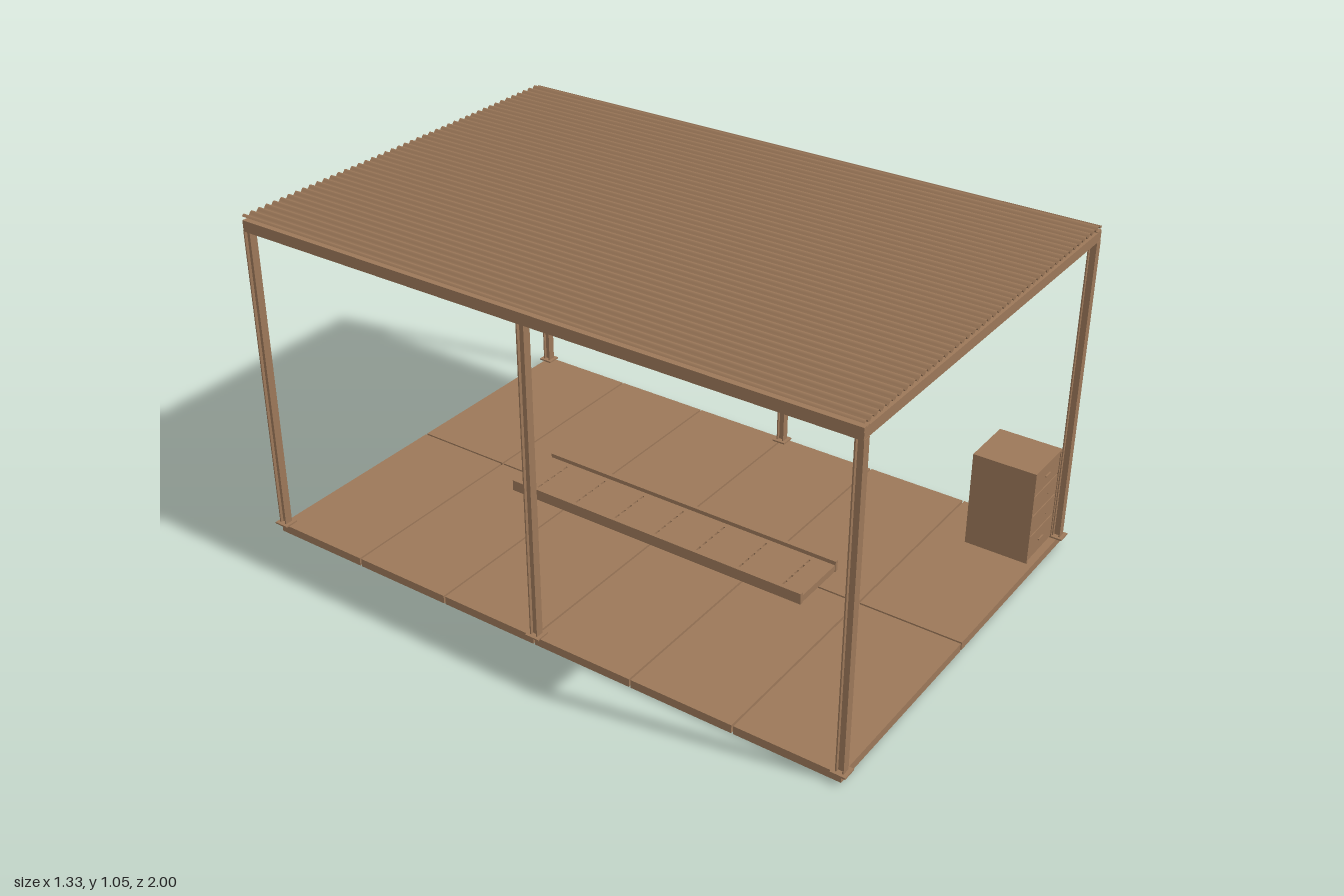
import * as THREE from 'three';

export function createModel() {
  const model = new THREE.Group();
  const brown = new THREE.MeshStandardMaterial({ color: 0x9c7859, side: THREE.DoubleSide });
  brown.name = 'brown';

  const add = (parent, name, geometry, x = 0, y = 0, z = 0) => {
    const mesh = new THREE.Mesh(geometry, brown);
    mesh.name = name;
    mesh.position.set(x, y, z);
    parent.add(mesh);
    return mesh;
  };
  // Box given by its minimum and maximum on each axis
  const box = (parent, name, x0, x1, y0, y1, z0, z1) =>
    add(parent, name, new THREE.BoxGeometry(x1 - x0, y1 - y0, z1 - z0),
      (x0 + x1) / 2, (y0 + y1) / 2, (z0 + z1) / 2);
  const group = (name) => {
    const g = new THREE.Group();
    g.name = name;
    model.add(g);
    return g;
  };

  // Floor: two columns of six slabs with narrow joints
  const floor = group('floor');
  const pitch = 1.972 / 6;
  for (const side of [-1, 1]) {
    for (let i = 0; i < 6; i++) {
      const z = -0.986 + i * pitch;
      const a = side * 0.003, b = side * 0.654;
      box(floor, 'floorSlab', Math.min(a, b), Math.max(a, b), 0, 0.026, z + 0.003, z + pitch - 0.003);
    }
  }

  // H-section posts on square base plates
  const h = 0.0125, web = 0.003, flange = 0.004;
  const section = new THREE.Shape([
    [-h, -h], [h, -h], [h, -h + flange], [web, -h + flange], [web, h - flange], [h, h - flange],
    [h, h], [-h, h], [-h, h - flange], [-web, h - flange], [-web, -h + flange], [-h, -h + flange],
  ].map(([x, y]) => new THREE.Vector2(x, y)));
  const postGeometry = new THREE.ExtrudeGeometry(section, { depth: 0.974, bevelEnabled: false });
  postGeometry.rotateX(-Math.PI / 2);
  const frame = group('frame');
  for (const x of [-0.643, 0.643]) {
    for (const z of [-0.977, 0, 0.977]) {
      add(frame, 'post', postGeometry, x, 0.026, z);
      box(frame, 'basePlate', x - 0.022, x + 0.022, 0.026, 0.031, z - 0.023, z + 0.023);
    }
    box(frame, 'sideBeam', x - 0.0125, x + 0.0125, 0.998, 1.032, -0.988, 0.988);
  }
  for (const z of [-0.977, 0, 0.977]) {
    box(frame, 'crossBeam', -0.655, 0.655, 1.0, 1.03, z - 0.0115, z + 0.0115);
  }

  // Corrugated roof sheet
  const waves = 46;
  const sheet = new THREE.PlaneGeometry(1.31, 1.976, waves * 8, 1);
  sheet.rotateX(-Math.PI / 2);
  const p = sheet.attributes.position;
  for (let i = 0; i < p.count; i++) {
    p.setY(i, 0.006 * Math.sin((p.getX(i) / 1.31) * waves * Math.PI * 2));
  }
  sheet.computeVertexNormals();
  add(model, 'roofSheet', sheet, 0, 1.043, 0);

  // Low tray with side rails and rows of slots
  const tray = group('tray');
  const deck = new THREE.Shape();
  deck.moveTo(-0.092, -0.525);
  deck.lineTo(0.092, -0.525);
  deck.lineTo(0.092, 0.525);
  deck.lineTo(-0.092, 0.525);
  deck.closePath();
  for (let row = 0; row < 7; row++) {
    for (let col = 0; col < 5; col++) {
      const x = -0.064 + col * 0.032, y = -0.45 + row * 0.15;
      const slot = new THREE.Path();
      slot.moveTo(x - 0.01, y - 0.003);
      slot.lineTo(x - 0.01, y + 0.003);
      slot.lineTo(x + 0.01, y + 0.003);
      slot.lineTo(x + 0.01, y - 0.003);
      slot.closePath();
      deck.holes.push(slot);
    }
  }
  const deckGeometry = new THREE.ExtrudeGeometry(deck, { depth: 0.023, bevelEnabled: false });
  deckGeometry.rotateX(-Math.PI / 2);
  add(tray, 'trayDeck', deckGeometry, 0, 0.027, 0);
  for (const x of [-0.098, 0.098]) {
    box(tray, 'trayRail', x - 0.006, x + 0.006, 0.027, 0.063, -0.527, 0.527);
  }

  // Drawer cabinet in the front left corner
  const cabinet = group('cabinet');
  box(cabinet, 'cabinetBody', 0.458, 0.621, 0.03, 0.33, 0.766, 0.957);
  for (const x of [0.451, 0.621]) {
    box(cabinet, 'cabinetSide', x, x + 0.007, 0.027, 0.335, 0.765, 0.966);
  }
  box(cabinet, 'cabinetTop', 0.458, 0.621, 0.329, 0.335, 0.765, 0.966);
  [[0.033, 0.113], [0.118, 0.183], [0.188, 0.252], [0.257, 0.327]].forEach(([y0, y1], i) => {
    box(cabinet, 'drawer', 0.46, 0.619, y0, y1, 0.955, 0.964);
    const y = (y0 + y1) / 2;
    if (i === 0 || i === 3) {
      box(cabinet, 'handle', 0.523, 0.553, y - 0.002, y + 0.002, 0.963, 0.968);
    } else {
      const knob = add(cabinet, 'knob', new THREE.CylinderGeometry(0.002, 0.002, 0.005, 10), 0.555, y, 0.9655);
      knob.rotation.x = Math.PI / 2;
    }
  });

  return model;
}
